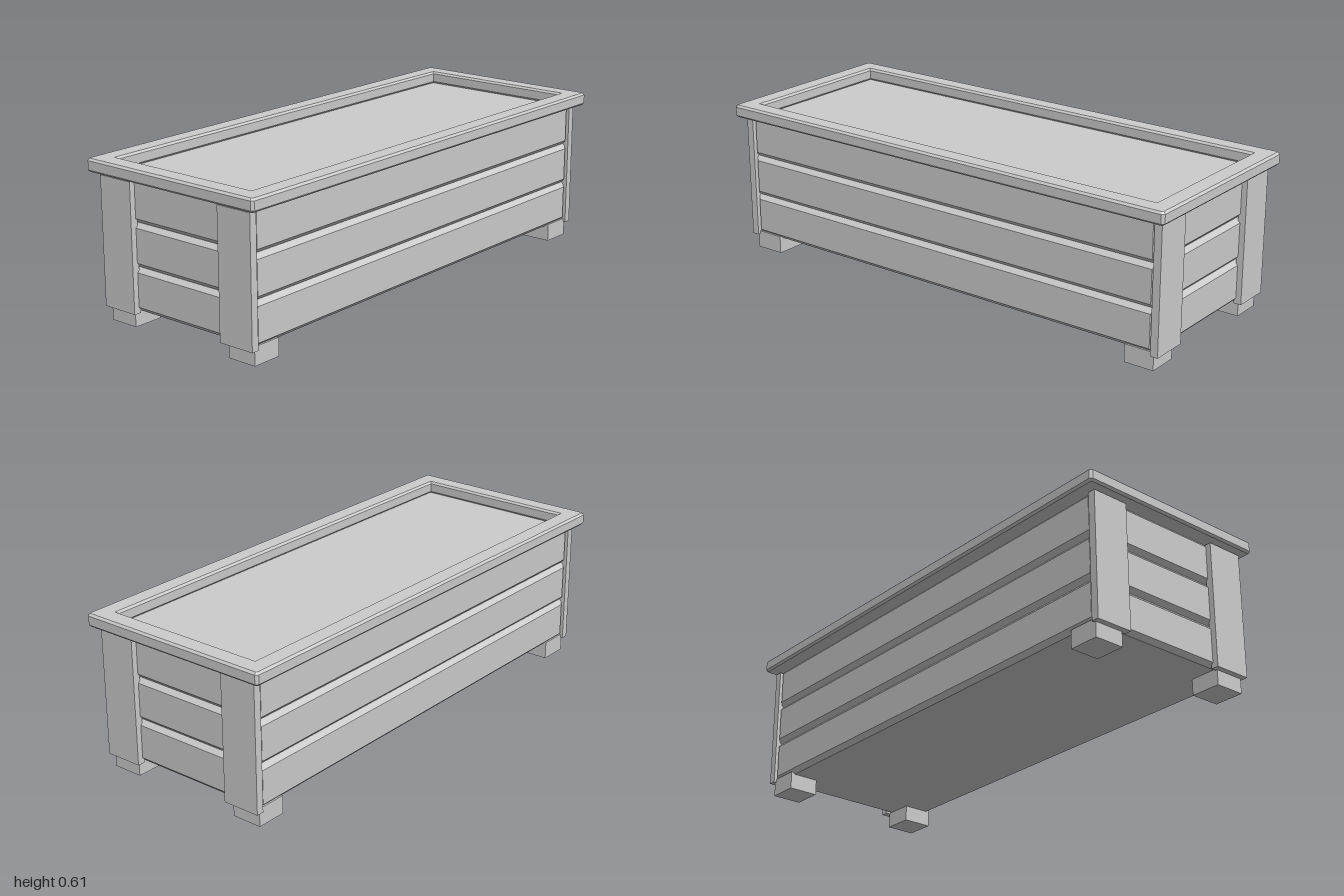
import * as THREE from 'three';

const material = new THREE.MeshStandardMaterial({ color: 0xcccccc, flatShading: true });

function addMesh(parent, name, geometry, x, y, z) {
  const mesh = new THREE.Mesh(geometry, material);
  mesh.name = name;
  mesh.position.set(x, y, z);
  parent.add(mesh);
  return mesh;
}

// Closed rectangle outline with cut corners (cut = 0 gives square corners)
function outline(path, hx, hy, cut = 0) {
  const pts = [];
  for (const [sx, sy, flip] of [[1, 1, 0], [-1, 1, 1], [-1, -1, 0], [1, -1, 1]]) {
    const a = new THREE.Vector2(sx * hx, sy * (hy - cut));
    const b = new THREE.Vector2(sx * (hx - cut), sy * hy);
    if (cut === 0) pts.push(a);
    else pts.push(...(flip ? [b, a] : [a, b]));
  }
  return path.setFromPoints(pts);
}

// Board of given length and height, chamfered all round, outer face at z = 0
function slatGeometry(length, height, chamfer) {
  const shape = outline(new THREE.Shape(), length / 2 - chamfer, height / 2 - chamfer);
  const geo = new THREE.ExtrudeGeometry(shape, {
    depth: 0.005, bevelEnabled: true, bevelSegments: 1,
    bevelSize: chamfer, bevelThickness: chamfer,
  });
  return geo.translate(0, 0, -0.005 - chamfer);
}

export function createModel() {
  const group = new THREE.Group();
  group.name = 'planterBox';

  // Inner body: its top is the fill surface, its underside the floor
  const bottom = 0.062, top = 0.557;
  addMesh(group, 'fillBody', new THREE.BoxGeometry(1.866, top - bottom, 0.67), 0, (top + bottom) / 2, 0);

  // Three rows of chamfered boards on all four sides
  const rows = 3, rowHeight = (top - bottom) / rows, chamfer = 0.0175;
  const longSlat = slatGeometry(1.9, rowHeight, chamfer);
  const shortSlat = slatGeometry(0.67, rowHeight, chamfer);
  for (let i = 0; i < rows; i++) {
    const y = bottom + rowHeight * (i + 0.5);
    addMesh(group, 'frontSlat', longSlat, 0, y, 0.3525);
    addMesh(group, 'backSlat', longSlat, 0, y, -0.3525).rotation.y = Math.PI;
    addMesh(group, 'leftSlat', shortSlat, 0.95, y, 0).rotation.y = Math.PI / 2;
    addMesh(group, 'rightSlat', shortSlat, -0.95, y, 0).rotation.y = -Math.PI / 2;
  }

  // Flat corner posts on the ends and block feet below
  const post = new THREE.BoxGeometry(0.03, 0.49, 0.15);
  const foot = new THREE.BoxGeometry(0.12, 0.07, 0.12);
  for (const sx of [-1, 1]) {
    for (const sz of [-1, 1]) {
      addMesh(group, 'cornerPost', post, sx * 0.957, 0.302, sz * 0.285);
      addMesh(group, 'foot', foot, sx * 0.89, 0.035, sz * 0.29);
    }
  }

  // Chamfered rim frame around the opening
  const bevel = 0.008;
  const frame = outline(new THREE.Shape(), 1 - bevel, 0.4 - bevel, 0.005);
  frame.holes.push(outline(new THREE.Path(), 0.93, 0.33));
  const rim = new THREE.ExtrudeGeometry(frame, {
    depth: 0.05 - 2 * bevel, bevelEnabled: true, bevelSegments: 1,
    bevelSize: bevel, bevelThickness: bevel,
  });
  rim.rotateX(-Math.PI / 2);
  addMesh(group, 'rim', rim, 0, top + bevel, 0);

  return group;
}
